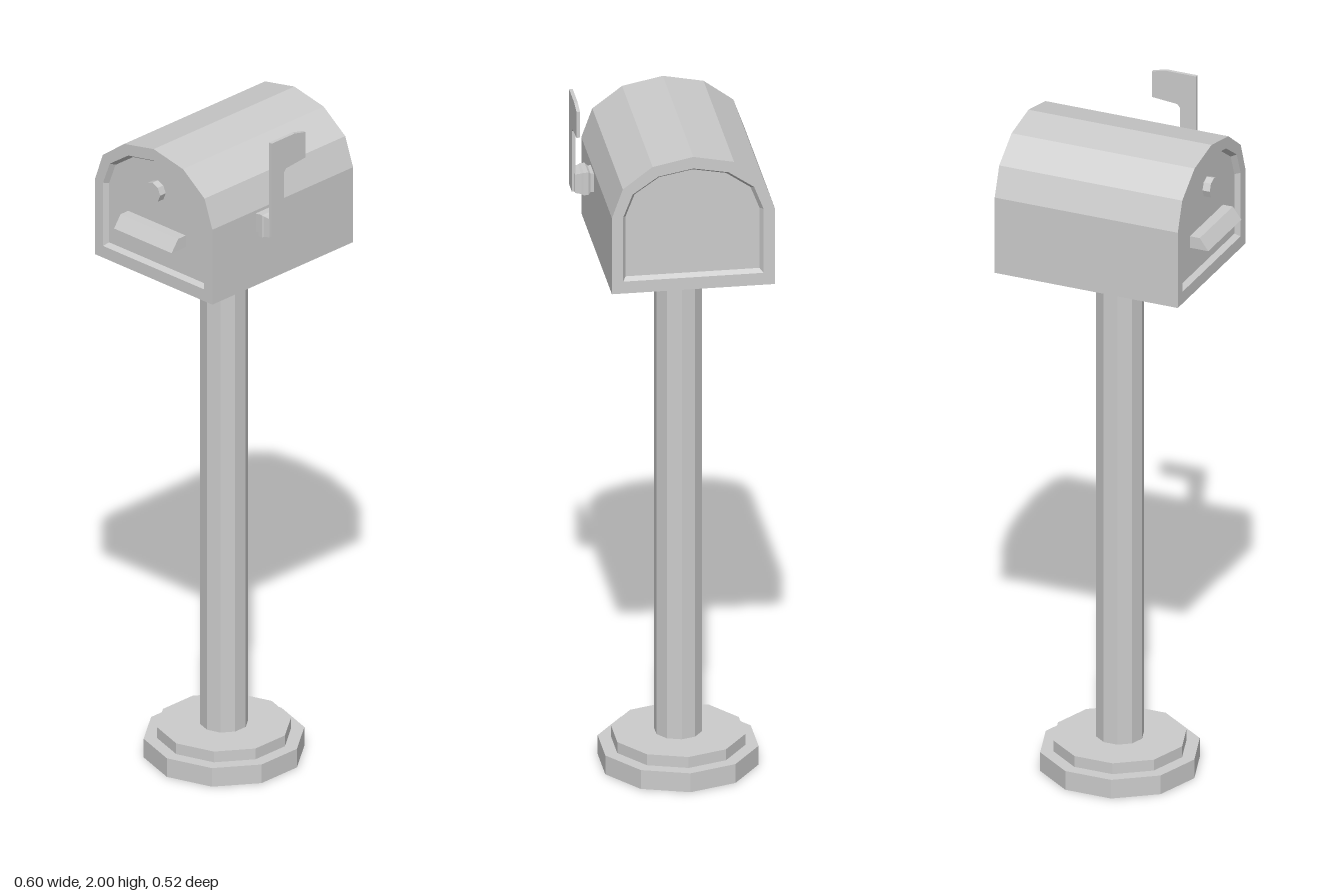
import * as THREE from 'three';

const CX = 0.02, CZ = -0.03; // axis of post and box
const material = new THREE.MeshStandardMaterial({ color: 0xcccccc, flatShading: true });

function add(parent, name, geometry, x = 0, y = 0, z = 0) {
  const mesh = new THREE.Mesh(geometry, material);
  mesh.name = name;
  mesh.position.set(x, y, z);
  parent.add(mesh);
  return mesh;
}

// Ten-sided upright prism with corners on the x axis
const prism = (r, h) => new THREE.CylinderGeometry(r, r, h, 10, 1, false, Math.PI / 2);

// Arched cross-section: flat bottom, straight sides, half-ellipse top
function archRing(x, halfWidth, bottom, spring, top) {
  const ring = [new THREE.Vector3(x, bottom, CZ - halfWidth)];
  for (let i = 0; i <= 6; i++) {
    const a = (i / 6) * Math.PI;
    ring.push(new THREE.Vector3(x, spring + (top - spring) * Math.sin(a), CZ - halfWidth * Math.cos(a)));
  }
  ring.push(new THREE.Vector3(x, bottom, CZ + halfWidth));
  return ring;
}

// Skin a row of rings running towards +x
function loft(rings) {
  const points = [];
  for (let i = 0; i < rings.length - 1; i++) {
    const n = rings[i].length;
    for (let j = 0; j < n; j++) {
      const k = (j + 1) % n;
      const a = rings[i][j], b = rings[i][k], c = rings[i + 1][k], d = rings[i + 1][j];
      points.push(a, b, c, a, c, d);
    }
  }
  const geometry = new THREE.BufferGeometry().setFromPoints(points);
  geometry.computeVertexNormals();
  return geometry;
}

function extrude(outline, depth) {
  const shape = new THREE.Shape(outline.map(([x, y]) => new THREE.Vector2(x, y)));
  return new THREE.ExtrudeGeometry(shape, { depth, bevelEnabled: false });
}

export function createModel() {
  const model = new THREE.Group();
  model.name = 'mailbox';

  // Stepped foot and post
  add(model, 'baseLower', prism(0.225, 0.057), CX, 0.0285, CZ);
  add(model, 'baseUpper', prism(0.188, 0.04), CX, 0.07, CZ);
  add(model, 'post', prism(0.067, 1.47), CX, 0.815, CZ);

  // Box with a recessed panel in each end
  const x0 = -0.257, x1 = 0.297, depth = 0.015;
  const outer = [0.2275, 1.545, 1.775, 1.945];
  const opening = [0.196, 1.581, 1.775, 1.91];
  const panel = [0.187, 1.59, 1.772, 1.901];
  const centre = [0, 1.75, 1.75, 1.75];
  add(model, 'boxBody', loft([
    archRing(x0 + depth, ...centre),
    archRing(x0 + depth, ...panel),
    archRing(x0, ...opening),
    archRing(x0, ...outer),
    archRing(x1, ...outer),
    archRing(x1, ...opening),
    archRing(x1 - depth, ...panel),
    archRing(x1 - depth, ...centre),
  ]));

  // Door pull and lock on the door end
  add(model, 'doorHandle', extrude(
    [[-0.298, 1.677], [-0.24, 1.677], [-0.24, 1.712], [-0.272, 1.712]], 0.223), 0, 0, -0.143);
  const lock = add(model, 'doorLock', new THREE.CylinderGeometry(0.03, 0.03, 0.026, 8), -0.251, 1.815, -0.028);
  lock.rotation.z = Math.PI / 2;

  // Signal flag on a square stepped hub
  const flag = new THREE.Group();
  flag.name = 'signalFlag';
  model.add(flag);
  const hubProfile = [[0, 0.19], [0.028, 0.19], [0.028, 0.207], [0.034, 0.214], [0.034, 0.227],
    [0.031, 0.233], [0.028, 0.25], [0, 0.25]]
    .map(([half, z]) => new THREE.Vector2(half * Math.SQRT2, z));
  const hub = add(flag, 'flagHub',
    new THREE.LatheGeometry(hubProfile, 4, Math.PI / 4), -0.058, 1.738, 0);
  hub.rotation.x = Math.PI / 2;
  add(flag, 'flagArm', extrude([
    [-0.085, 1.712], [-0.037, 1.712], [-0.037, 1.895], [-0.028, 1.905], [0.005, 1.908],
    [0.048, 1.912], [0.048, 1.99], [0.005, 2], [-0.085, 2],
  ], 0.01), 0, 0, 0.248);

  return model;
}
